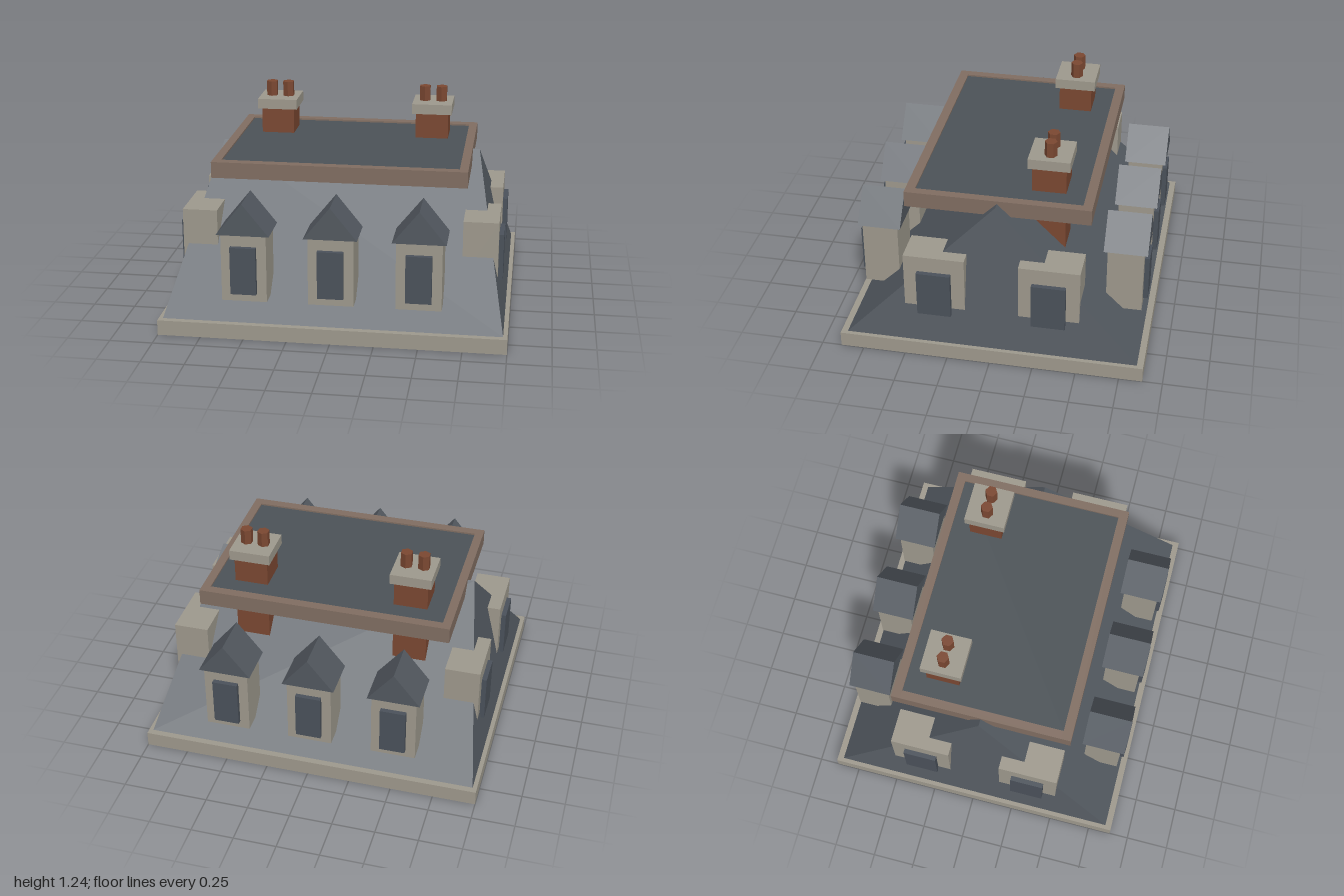
import * as THREE from 'three';
import { ConvexGeometry } from 'three/addons/geometries/ConvexGeometry.js';

function material(name, color) {
  const m = new THREE.MeshStandardMaterial({ color, flatShading: true });
  m.name = name;
  return m;
}

export function createModel() {
  const stone = material('stone', 0x9d988c);
  const slate = material('slate', 0x52585f);
  const deckLead = material('deck lead', 0x4b5257);
  const glass = material('window glass', 0x4a515a);
  const brick = material('brick', 0x7a4731);
  const trim = material('brown trim', 0x806d61);

  const root = new THREE.Group();
  root.name = 'mansardRoof';

  const add = (parent, name, geometry, mat, x = 0, y = 0, z = 0) => {
    const mesh = new THREE.Mesh(geometry, mat);
    mesh.name = name;
    mesh.position.set(x, y, z);
    parent.add(mesh);
    return mesh;
  };
  // Box given by its limits on each axis
  const box = (parent, name, mat, [x0, x1], [y0, y1], [z0, z1]) =>
    add(parent, name, new THREE.BoxGeometry(x1 - x0, y1 - y0, z1 - z0), mat,
      (x0 + x1) / 2, (y0 + y1) / 2, (z0 + z1) / 2);
  const hull = (points) => new ConvexGeometry(points.map((p) => new THREE.Vector3(...p)));
  const subgroup = (name) => {
    const g = new THREE.Group();
    g.name = name;
    root.add(g);
    return g;
  };

  // Base cornice and main hipped roof
  box(root, 'cornice', stone, [-1, 1], [0, 0.09], [-0.885, 0.885]);
  const corners = [];
  for (const s of [-1, 1]) {
    corners.push([s * 0.975, 0.09, -0.848], [s * 0.975, 0.09, 0.848], [s * 0.78, 0.928, 0]);
  }
  add(root, 'mainRoof', hull(corners), slate);

  // Flat deck with a raised rim
  box(root, 'deck', deckLead, [-0.69, 0.69], [0.86, 0.935], [-0.48, 0.48]);
  const rim = subgroup('deckRim');
  for (const s of [-1, 1]) {
    const long = s > 0 ? [0.48, 0.535] : [-0.535, -0.48];
    const short = s > 0 ? [0.69, 0.74] : [-0.74, -0.69];
    box(rim, 'rimLong', trim, [-0.74, 0.74], [0.85, 0.945], long);
    box(rim, 'rimShort', trim, short, [0.85, 0.945], [-0.48, 0.48]);
  }

  // Gabled dormers, three on the front and three on the back
  const gable = hull([0.597, 0.85].flatMap((z) => [[-0.152, 0.616, z], [0.152, 0.616, z], [0, 0.805, z]]));
  for (const turn of [0, Math.PI]) {
    for (const x of [-0.497, 0, 0.497]) {
      const dormer = subgroup('gabledDormer');
      box(dormer, 'dormerBody', stone, [-0.13, 0.13], [0.216, 0.618], [0.618, 0.828]);
      box(dormer, 'dormerWindow', glass, [-0.074, 0.074], [0.265, 0.545], [0.81, 0.856]);
      add(dormer, 'dormerRoof', gable, slate);
      dormer.position.x = x;
      dormer.rotation.y = turn;
    }
  }

  // Flat-topped dormers, two on each end
  for (const turn of [0, Math.PI]) {
    for (const z of [-0.33, 0.33]) {
      const dormer = subgroup('endDormer');
      box(dormer, 'endDormerBody', stone, [0.72, 0.925], [0.303, 0.64], [-0.176, 0.176]);
      box(dormer, 'endDormerWindow', glass, [0.905, 0.953], [0.264, 0.543], [-0.098, 0.098]);
      dormer.position.z = z;
      dormer.rotation.y = turn;
    }
  }

  // Chimneys with cap and two hexagonal pots
  const pot = new THREE.CylinderGeometry(0.036, 0.036, 0.09, 6);
  for (const x of [-0.477, 0.477]) {
    const chimney = subgroup('chimney');
    box(chimney, 'stack', brick, [-0.099, 0.099], [0.5, 1.09], [-0.098, 0.098]);
    box(chimney, 'cap', stone, [-0.121, 0.121], [1.09, 1.151], [-0.121, 0.121]);
    for (const dx of [-0.051, 0.051]) add(chimney, 'pot', pot, brick, dx, 1.196, 0);
    chimney.position.set(x, 0, -0.268);
  }

  return root;
}
